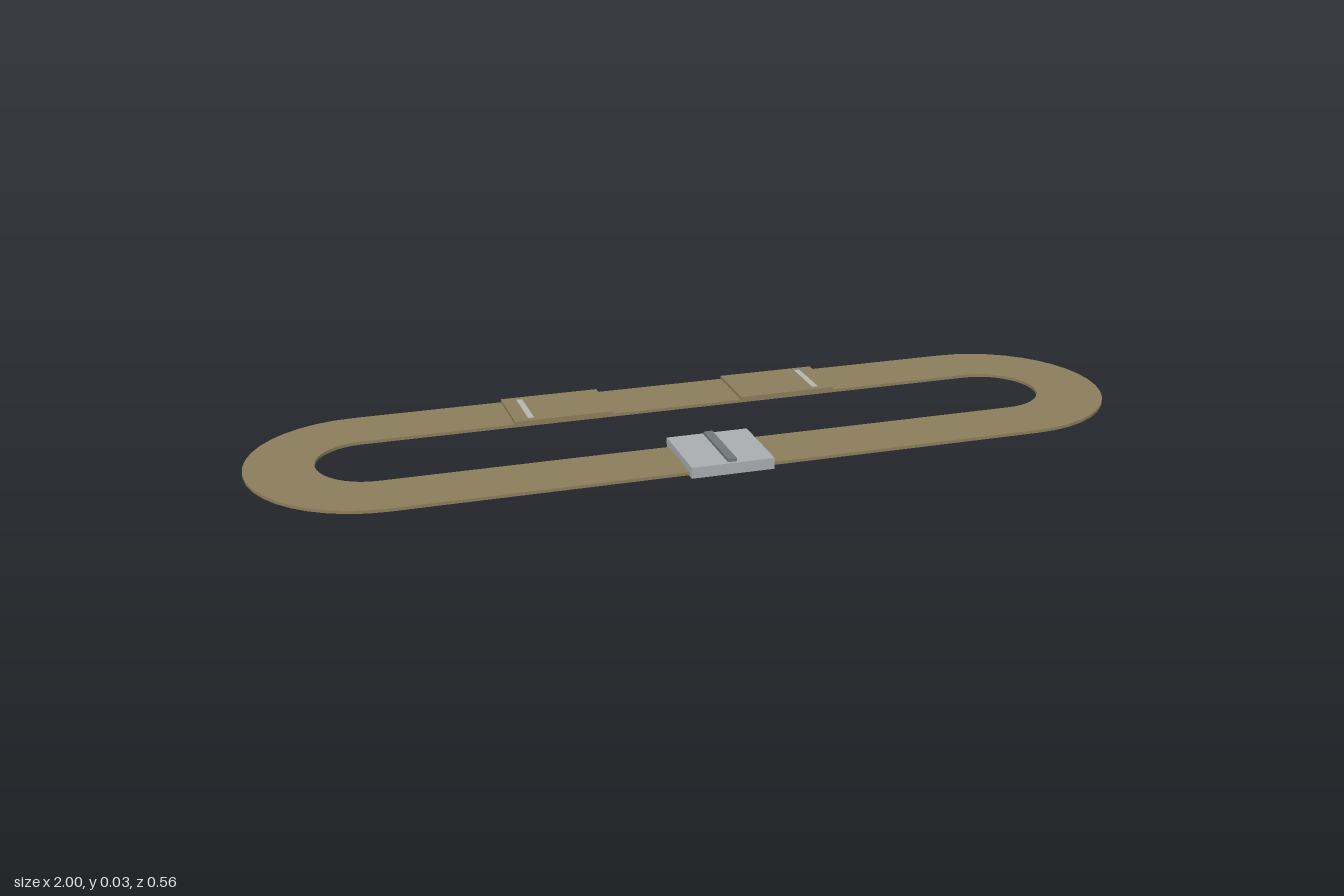
import * as THREE from 'three';

const material = (name, color) => {
  const m = new THREE.MeshStandardMaterial({ color });
  m.name = name;
  return m;
};

// Stadium outline: two straight runs joined by half circles
function stadium(Path, half, r) {
  const p = new Path();
  p.moveTo(-half, -r);
  p.lineTo(half, -r);
  p.absarc(half, 0, r, -Math.PI / 2, Math.PI / 2, false);
  p.lineTo(-half, r);
  p.absarc(-half, 0, r, Math.PI / 2, Math.PI * 1.5, false);
  return p;
}

export function createModel() {
  const group = new THREE.Group();
  const webbing = material('tan webbing', 0x8b7d5b);
  const metal = material('light metal', 0xa9adaf);
  const darkMetal = material('dark metal', 0x70777a);
  const stitch = material('pale stitching', 0xb4b5ac);

  // Box given by its limits on each axis
  const box = (name, mat, [x0, x1], [y0, y1], [z0, z1]) => {
    const mesh = new THREE.Mesh(new THREE.BoxGeometry(x1 - x0, y1 - y0, z1 - z0), mat);
    mesh.position.set((x0 + x1) / 2, (y0 + y1) / 2, (z0 + z1) / 2);
    mesh.name = name;
    group.add(mesh);
  };

  // Flat closed belt loop
  const shape = stadium(THREE.Shape, 0.73, 0.27);
  shape.holes.push(stadium(THREE.Path, 0.73, 0.118));
  const geo = new THREE.ExtrudeGeometry(shape, { depth: 0.007, bevelEnabled: false, curveSegments: 10 });
  geo.rotateX(-Math.PI / 2);
  const belt = new THREE.Mesh(geo, webbing);
  belt.position.set(0, 0.002, -0.008);
  belt.name = 'belt';
  group.add(belt);

  // Raised pads at the back, each with a stitch line
  for (const [side, s] of [['left', 1], ['right', -1]]) {
    const span = (a, b) => (s > 0 ? [a, b] : [-b, -a]);
    box(side + 'Pad', webbing, span(0.155, 0.385), [0.008, 0.0165], [-0.278, -0.122]);
    box(side + 'Stitch', stitch, span(0.338, 0.352), [0.012, 0.0172], [-0.262, -0.138]);
  }

  // Front buckle with its centre bar
  box('buckle', metal, [-0.093, 0.093], [0, 0.025], [0.094, 0.278]);
  box('buckleBar', darkMetal, [-0.01, 0.01], [0.02, 0.032], [0.101, 0.271]);

  return group;
}
